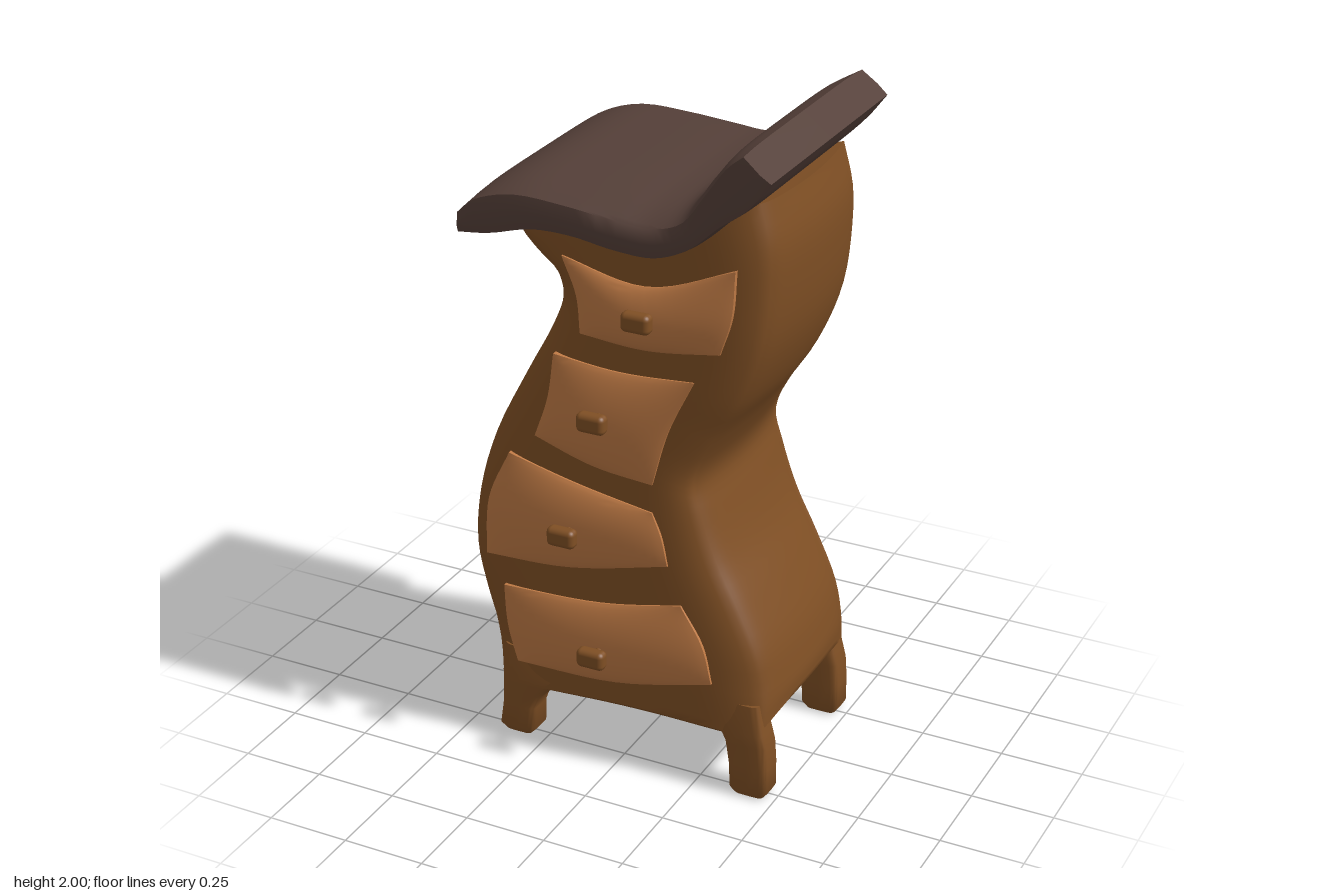
import * as THREE from 'three';
import { toCreasedNormals } from 'three/addons/utils/BufferGeometryUtils.js';
import { RoundedBoxGeometry } from 'three/addons/geometries/RoundedBoxGeometry.js';

const V = (x, y, z = 0) => new THREE.Vector3(x, y, z);
const lerp = THREE.MathUtils.lerp;
const spline = (pts) => new THREE.CatmullRomCurve3(pts.map((p) => V(...p)));

// Skin a stack of closed rings and fan both ends shut
function loft(rings, crease) {
  const n = rings[0].length, pos = [], idx = [];
  rings.forEach((r) => r.forEach((p) => pos.push(p.x, p.y, p.z)));
  for (let i = 0; i < rings.length - 1; i++) {
    for (let j = 0; j < n; j++) {
      const a = i * n + j, b = i * n + (j + 1) % n;
      idx.push(a, b, b + n, a, b + n, a + n);
    }
  }
  [0, rings.length - 1].forEach((i) => {
    const c = rings[i].reduce((s, p) => s.add(p), V(0, 0, 0)).divideScalar(n);
    const k = pos.length / 3;
    pos.push(c.x, c.y, c.z);
    for (let j = 0; j < n; j++) {
      const a = i * n + j, b = i * n + (j + 1) % n;
      if (i === 0) idx.push(k, b, a);
      else idx.push(k, a, b);
    }
  });
  const g = new THREE.BufferGeometry();
  g.setAttribute('position', new THREE.Float32BufferAttribute(pos, 3));
  g.setIndex(idx);
  return toCreasedNormals(g, crease);
}

// Swaying cabinet: rows between a left and a right edge line, third value is the back bulge
function bodyGeometry() {
  const left = spline([[-0.385, 0.17, 0.02], [-0.405, 0.3, 0.06], [-0.45, 0.45, 0.08], [-0.48, 0.6, 0.088],
    [-0.465, 0.78, 0.07], [-0.405, 0.98, 0.045], [-0.295, 1.2, 0.032], [-0.21, 1.36, 0.042], [-0.18, 1.45, 0.046],
    [-0.2, 1.52, 0.042], [-0.27, 1.58, 0.03], [-0.31, 1.63, 0.015], [-0.31, 1.68, 0]]);
  const right = spline([[0.46, 0.2], [0.46, 0.3], [0.437, 0.43], [0.372, 0.58], [0.302, 0.72], [0.253, 0.86],
    [0.23, 0.96], [0.29, 1.1], [0.37, 1.23], [0.432, 1.4], [0.453, 1.58], [0.45, 1.7], [0.42, 1.82]]);
  const rows = 48, N = 20, rings = [];
  for (let i = 0; i <= rows; i++) {
    const t = i / rows, L = left.getPoint(t), R = right.getPoint(t), ring = [];
    const low = Math.max(0, 1 - t * 8);
    const sag = (s) => Math.sin(Math.PI * s) * (0.06 * t ** 8 - 0.02 * low);
    // The front corners are rounder above the legs
    const front = lerp(0.05, 0.015, low);
    for (let side = 0; side < 4; side++) {
      for (let j = 0; j < N; j++) {
        // Crowd points towards the rounded corners
        const q = j / N, s = lerp(q, 0.5 - 0.5 * Math.cos(Math.PI * q), 0.7);
        const b = Math.sin(Math.PI * s), e = Math.abs(2 * s - 1);
        const out = 0.022 * b + 0.012 * (1 - e ** 12) - 0.008;
        const lift = 0.07 * low * b ** 0.35;
        if (side === 0) ring.push(V(lerp(L.x, R.x, s), lerp(L.y, R.y, s) - sag(s), 0.3 - front * e ** 7));
        if (side === 1) ring.push(V(R.x + out, R.y + lift, lerp(0.3 - front, -0.285, s)));
        if (side === 2) ring.push(V(lerp(R.x, L.x, s), lerp(R.y, L.y, s) - sag(s), -0.302 - L.z * b + 0.017 * e ** 12));
        if (side === 3) ring.push(V(L.x - out, L.y + lift, lerp(-0.285, 0.3 - front, s)));
      }
    }
    rings.push(ring);
  }
  // Belly hanging below the frame
  const belly = [0.1, 0.3, 0.5, 0.7, 0.85].map((k) => rings[0].map((p) =>
    V(lerp(0.02, p.x, k), lerp(0.1, p.y, k ** 2.5), p.z * k)));
  return loft([...belly, ...rings], 0.9);
}

// Padded lid: upper and lower lines, the front edge pressed down between the ends
function lidGeometry() {
  const top = spline([[-0.43, 1.7], [-0.375, 1.765], [-0.27, 1.81], [-0.1, 1.815], [0.05, 1.81],
    [0.15, 1.803], [0.235, 1.818], [0.3, 1.9], [0.36, 1.97], [0.42, 2.0]]);
  const bottom = spline([[-0.43, 1.64], [-0.33, 1.65], [-0.2, 1.68], [-0.08, 1.68], [0.05, 1.66],
    [0.17, 1.66], [0.27, 1.705], [0.36, 1.785], [0.44, 1.85], [0.503, 1.935]]);
  const rings = [], N = 24;
  for (let i = 0; i <= 40; i++) {
    const a = top.getPoint(i / 40), b = bottom.getPoint(i / 40), ring = [];
    const arc = Math.sin(Math.PI * i / 40);
    const at = (w, f) => V(lerp(a.x, b.x, f), lerp(a.y, b.y, f), 0.388 * w);
    for (let j = 0; j <= N; j++) {
      const w = Math.sin((j / N - 0.5) * Math.PI);
      ring.push(at(w, (0.05 + 0.17 * arc) * Math.abs(w) ** 6 + 0.14 * arc * Math.max(0, w) ** 3));
    }
    ring.push(at(1.016, 0.65));
    for (let j = N; j >= 0; j--) {
      const w = Math.sin((j / N - 0.5) * Math.PI);
      ring.push(at(w, 1 - 0.08 * arc * Math.abs(w) ** 10));
    }
    ring.push(at(-1.016, 0.6));
    rings.push(ring);
  }
  return loft(rings, 0.9);
}

// Rounded-square leg from [y, centre x, half width, half depth] steps
function legGeometry(steps, cz) {
  const sq = (v) => Math.sign(v) * Math.abs(v) ** 0.35;
  return loft(steps.map(([y, cx, hw, hz = 0.046]) => Array.from({ length: 24 }, (_, j) => {
    const a = j / 24 * Math.PI * 2;
    return V(cx + hw * sq(Math.sin(a)), y, cz + hz * sq(Math.cos(a)));
  })), 0.8);
}

// Domed drawer front blended between four curved edges, its rim turned back into the cabinet
function drawerGeometry({ bottom, top, left, right }) {
  const [B, T, L, R] = [bottom, top, left, right].map(spline);
  const n = 20, g = new THREE.PlaneGeometry(1, 1, n, n), p = g.attributes.position;
  const b0 = B.getPoint(0), b1 = B.getPoint(1), t0 = T.getPoint(0), t1 = T.getPoint(1);
  for (let i = 0; i < p.count; i++) {
    // Crowd the grid towards the edges
    const u = 0.5 - 0.5 * Math.cos(Math.PI * (p.getX(i) + 0.5));
    const v = 0.5 - 0.5 * Math.cos(Math.PI * (p.getY(i) + 0.5));
    const bu = B.getPoint(u), tu = T.getPoint(u), lv = L.getPoint(v), rv = R.getPoint(v);
    const mix = (k) => lerp(bu[k], tu[k], v) + lerp(lv[k], rv[k], u)
      - lerp(lerp(b0[k], b1[k], u), lerp(t0[k], t1[k], u), v);
    const dome = Math.max(0, 16 * u * (1 - u) * v * (1 - v)) ** 0.7;
    const rim = Math.min(u, v, 1 - u, 1 - v) < 1e-4;
    p.setXYZ(i, mix('x'), mix('y'), rim ? 0.27 : 0.303 + 0.031 * dome);
  }
  return toCreasedNormals(g, 0.7);
}

// Drawer edges and knob positions, top to bottom
const DRAWERS = [
  { knob: [0.11, 1.47], bottom: [[-0.105, 1.365], [0.1, 1.355], [0.325, 1.385]],
    top: [[-0.16, 1.59], [0.1, 1.545], [0.37, 1.64]],
    left: [[-0.105, 1.365], [-0.115, 1.48], [-0.16, 1.59]], right: [[0.325, 1.385], [0.36, 1.5], [0.37, 1.64]] },
  { knob: [-0.03, 1.14], bottom: [[-0.255, 1.02], [-0.07, 0.965], [0.12, 0.945]],
    top: [[-0.19, 1.29], [0.02, 1.275], [0.25, 1.29]],
    left: [[-0.255, 1.02], [-0.21, 1.15], [-0.19, 1.29]], right: [[0.12, 0.945], [0.17, 1.12], [0.25, 1.29]] },
  { knob: [-0.13, 0.76], bottom: [[-0.425, 0.6], [-0.15, 0.62], [0.17, 0.7]],
    top: [[-0.34, 0.95], [-0.12, 0.9], [0.12, 0.86]],
    left: [[-0.425, 0.6], [-0.41, 0.79], [-0.34, 0.95]], right: [[0.17, 0.7], [0.15, 0.79], [0.12, 0.86]] },
  { knob: [-0.04, 0.385], bottom: [[-0.33, 0.26], [0, 0.275], [0.31, 0.35]],
    top: [[-0.37, 0.51], [-0.05, 0.53], [0.21, 0.585]],
    left: [[-0.33, 0.26], [-0.36, 0.38], [-0.37, 0.51]], right: [[0.31, 0.35], [0.28, 0.47], [0.21, 0.585]] },
];

export function createModel() {
  const material = (name, color) => new THREE.MeshStandardMaterial({ name, color });
  const wood = material('brown wood', 0x7f4f24);
  const lightWood = material('light wood', 0xbf7a45);
  const lidBrown = material('dark lid', 0x543f38);
  const model = new THREE.Group();
  model.name = 'wonkyDresser';
  const add = (name, geometry, mat, parent = model) => {
    const m = new THREE.Mesh(geometry, mat);
    m.name = name;
    parent.add(m);
    return m;
  };

  add('cabinet', bodyGeometry(), wood);
  add('lid', lidGeometry(), lidBrown);

  // Legs
  const rightSteps = [[0.005, -0.34, 0.042, 0.036], [0.025, -0.34, 0.06], [0.1, -0.333, 0.056],
    [0.14, -0.325, 0.063], [0.18, -0.305, 0.082], [0.21, -0.285, 0.104], [0.3, -0.29, 0.09, 0.036]];
  const leftSteps = [[0, 0.42, 0.045, 0.036], [0.02, 0.42, 0.06], [0.1, 0.418, 0.062],
    [0.17, 0.41, 0.065], [0.21, 0.395, 0.07], [0.3, 0.38, 0.065, 0.036]];
  for (const [end, z] of [['front', 0.254], ['back', -0.263]]) {
    add(end + 'RightLeg', legGeometry(rightSteps, z), wood);
    add(end + 'LeftLeg', legGeometry(leftSteps, z), wood);
  }

  // Drawers with knobs
  DRAWERS.forEach((d, i) => {
    const drawer = new THREE.Group();
    drawer.name = 'drawer' + (i + 1);
    model.add(drawer);
    add('drawerFront', drawerGeometry(d), lightWood, drawer);
    const stem = add('knobStem', new THREE.CylinderGeometry(0.012, 0.012, 0.05, 10), wood, drawer);
    stem.rotation.x = Math.PI / 2;
    stem.position.set(...d.knob, 0.35);
    const head = add('knobHead', new RoundedBoxGeometry(0.088, 0.058, 0.042, 3, 0.016), wood, drawer);
    head.position.set(...d.knob, 0.376);
  });
  return model;
}
